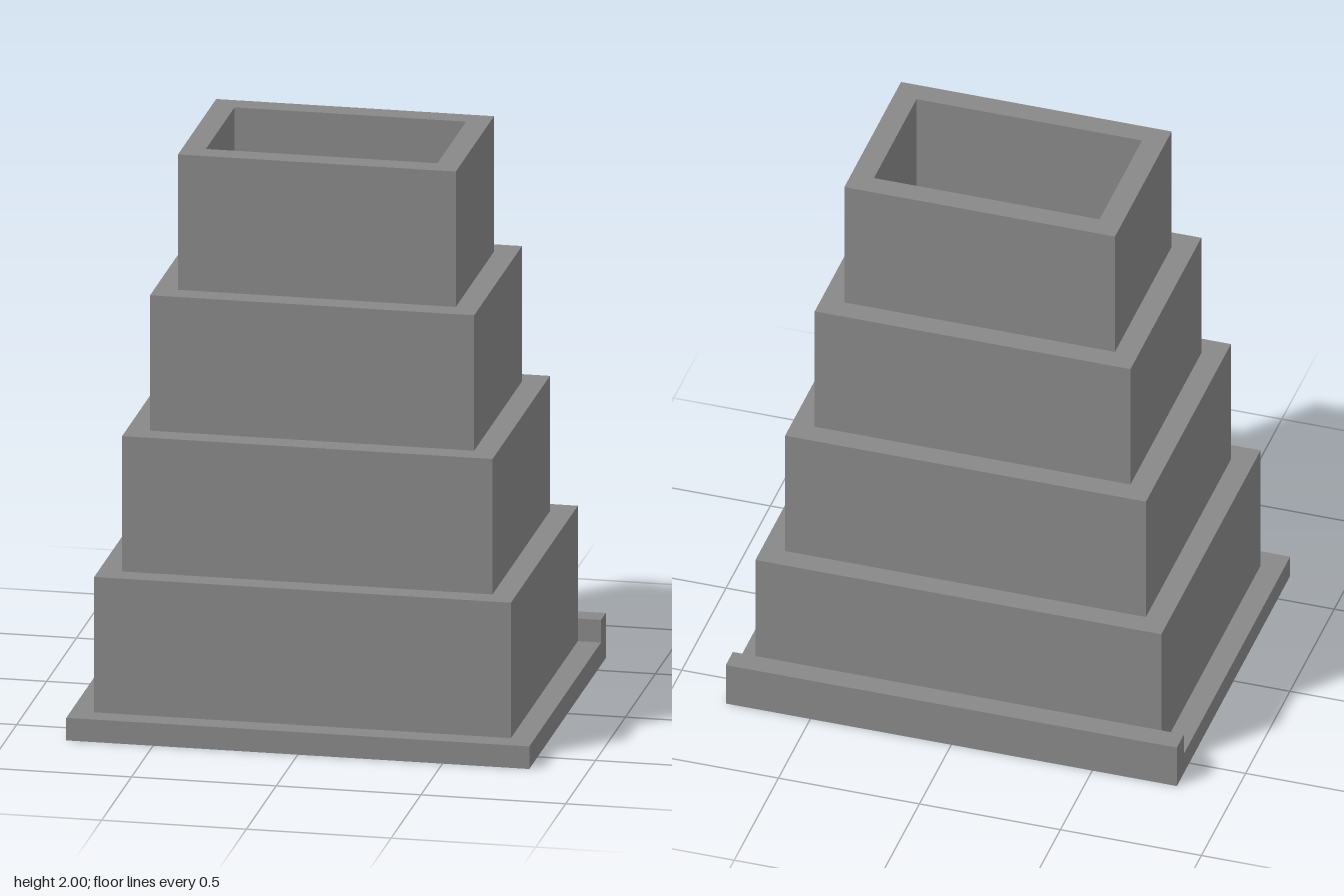
import * as THREE from 'three';

// Half size of the shaft that runs through every tier
const HOLE_X = 0.4, HOLE_Z = 0.24;

// Closed rectangle of half extents hx, hz
function rectangle(PathType, hx, hz) {
  return new PathType([
    new THREE.Vector2(-hx, -hz), new THREE.Vector2(hx, -hz),
    new THREE.Vector2(hx, hz), new THREE.Vector2(-hx, hz),
  ]);
}

// Upright rectangular frame around the shaft, with the given wall thickness
function frame(wall, height) {
  const shape = rectangle(THREE.Shape, HOLE_X + wall, HOLE_Z + wall);
  shape.holes.push(rectangle(THREE.Path, HOLE_X, HOLE_Z));
  const geometry = new THREE.ExtrudeGeometry(shape, { depth: height, bevelEnabled: false });
  return geometry.rotateX(-Math.PI / 2);
}

export function createModel() {
  const group = new THREE.Group();
  group.name = 'steppedChimney';
  const stone = new THREE.MeshStandardMaterial({ color: 0x888888 });
  stone.name = 'grey stone';

  const add = (name, geometry, y, z = 0) => {
    const mesh = new THREE.Mesh(geometry, stone);
    mesh.name = name;
    mesh.position.set(0, y, z);
    group.add(mesh);
  };

  // Base slab with a raised lip along the back
  add('baseSlab', frame(0.4, 0.08), 0);
  add('backLip', new THREE.BoxGeometry(1.6, 0.08, 0.08), 0.12, -0.6);

  // Four tiers, each stepping in by the same amount
  for (let i = 0; i < 4; i++) {
    add(`tier${i + 1}`, frame(0.32 - i * 0.08, 0.48), 0.08 + i * 0.48);
  }
  return group;
}
